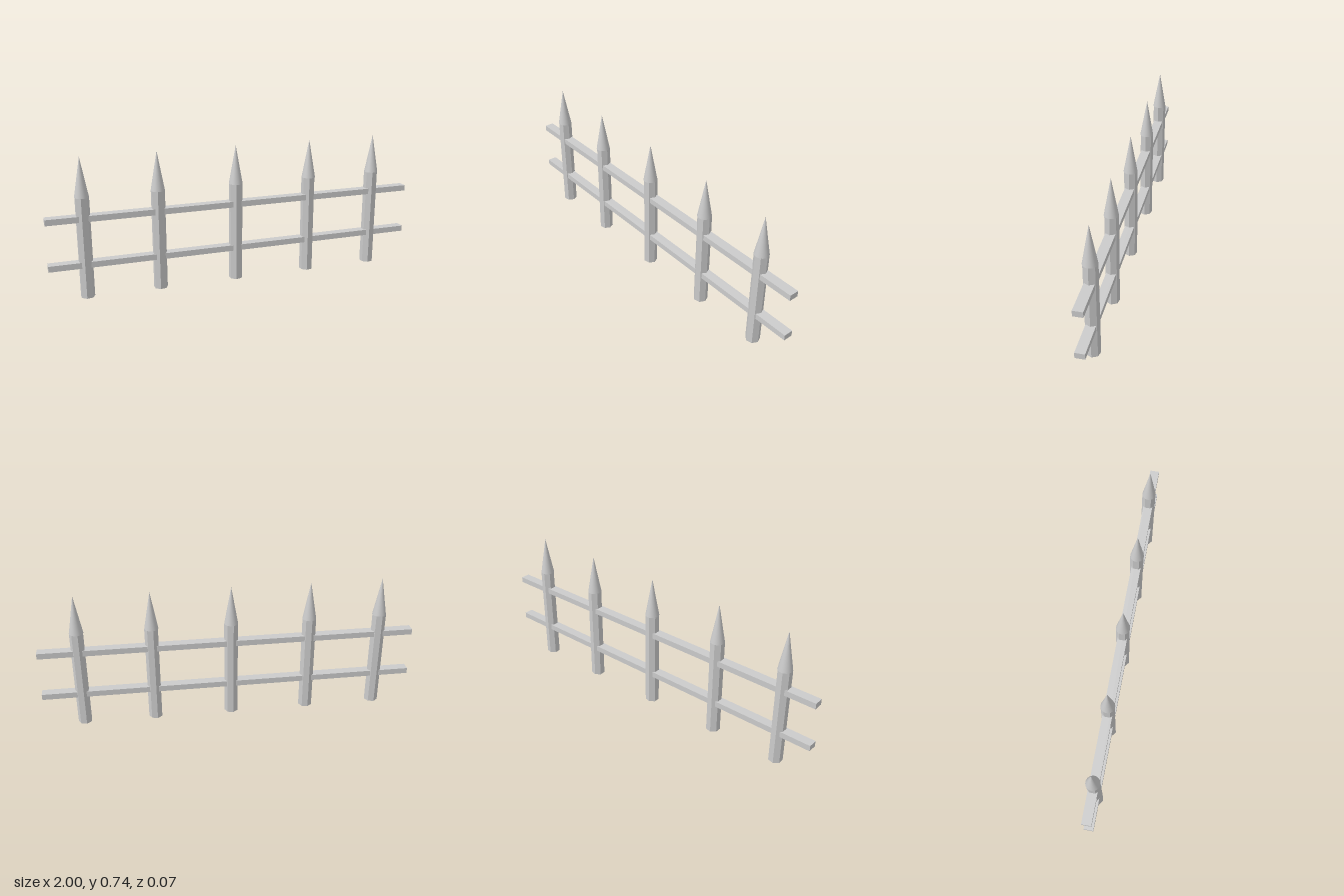
import * as THREE from 'three';

export function createModel() {
  const group = new THREE.Group();
  const smooth = new THREE.MeshStandardMaterial({ color: 0xcccccc });
  const flat = new THREE.MeshStandardMaterial({ color: 0xcccccc, flatShading: true });

  const add = (name, geometry, material, x, y) => {
    const mesh = new THREE.Mesh(geometry, material);
    mesh.name = name;
    mesh.position.set(x, y, 0);
    group.add(mesh);
  };

  // Seven-sided stakes, one corner toward +x, with round pointed tips
  const postHeight = 0.53, tipHeight = 0.205;
  const post = new THREE.CylinderGeometry(0.037, 0.037, postHeight, 7, 1, false, Math.PI / 2);
  const tip = new THREE.ConeGeometry(0.0365, tipHeight, 32);
  [-0.812, -0.428, -0.009, 0.408, 0.79].forEach((x, i) => {
    add(`post${i + 1}`, post, flat, x, postHeight / 2);
    add(`postTip${i + 1}`, tip, smooth, x, postHeight + tipHeight / 2);
  });

  // Two horizontal rails running through the stakes
  const rail = new THREE.BoxGeometry(2, 0.031, 0.05);
  add('lowerRail', rail, flat, 0, 0.178);
  add('upperRail', rail, flat, 0, 0.421);

  return group;
}
